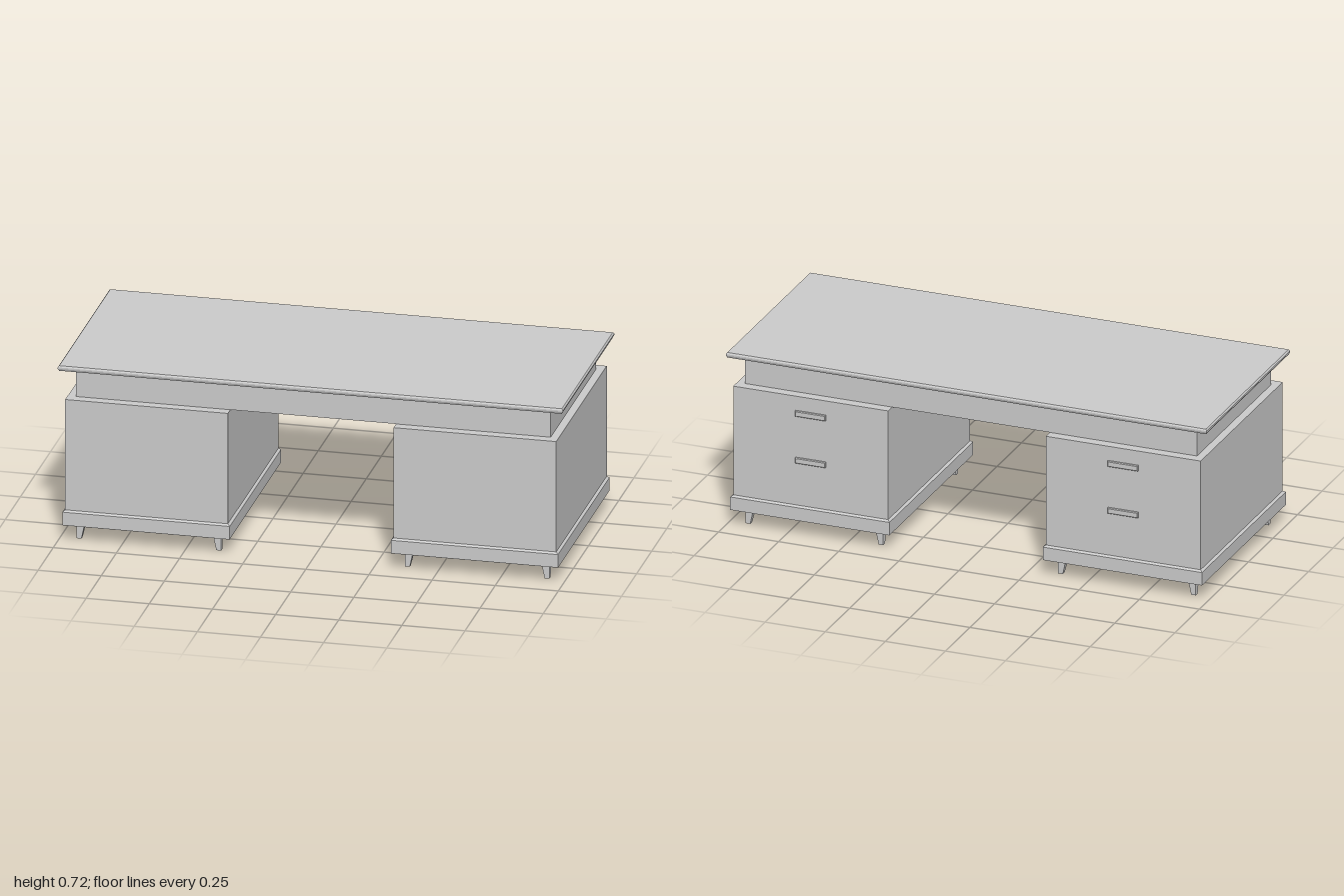
import * as THREE from 'three';

const material = new THREE.MeshStandardMaterial({ color: 0xcccccc, flatShading: true, side: THREE.DoubleSide });

// Stacks rectangular sections [x0, x1, y, z0, z1] from bottom to top into a faceted shell
function stack(name, sections, closedBottom = true) {
  const rings = sections.map(([x0, x1, y, z0, z1]) => [
    [x0, y, z1], [x1, y, z1], [x1, y, z0], [x0, y, z0],
  ]);
  const points = [];
  const quad = (a, b, c, d) => points.push(...a, ...b, ...c, ...a, ...c, ...d);
  for (let i = 0; i < rings.length - 1; i++) {
    for (let k = 0; k < 4; k++) {
      const n = (k + 1) % 4;
      quad(rings[i][k], rings[i][n], rings[i + 1][n], rings[i + 1][k]);
    }
  }
  quad(...rings[rings.length - 1]);
  if (closedBottom) quad(...[...rings[0]].reverse());
  const geometry = new THREE.BufferGeometry();
  geometry.setAttribute('position', new THREE.Float32BufferAttribute(points, 3));
  geometry.computeVertexNormals();
  const mesh = new THREE.Mesh(geometry, material);
  mesh.name = name;
  return mesh;
}

// Section centred on the origin
const centred = (hx, y, hz) => [-hx, hx, y, -hz, hz];

// Leg with straight outer faces and tapering inner faces, at corner (sx, sz)
function makeLeg(sx, sz) {
  const span = (outer, width, s) => (s > 0 ? [outer - width, outer] : [-outer, -outer + width]);
  const section = (y, width) => [...span(0.286, width, sx), y, ...span(0.38, width, sz)];
  return stack('leg', [section(0, 0.019), section(0.067, 0.033)]);
}

// Drawer pull with a chamfered outer face, on the back of the cabinet
function makeHandle(y) {
  const handle = stack('drawerHandle', [
    centred(0.063, 0, 0.012), centred(0.063, 0.006, 0.012), centred(0.06, 0.0095, 0.009),
  ]);
  handle.rotation.x = -Math.PI / 2;
  handle.position.set(0, y, -0.417);
  return handle;
}

function makePedestal(side) {
  const pedestal = new THREE.Group();
  pedestal.name = side > 0 ? 'leftPedestal' : 'rightPedestal';
  // Hollow cabinet and plinth, open underneath
  pedestal.add(stack('cabinet', [
    centred(0.331, 0.067, 0.427), centred(0.331, 0.121, 0.427),
    centred(0.322, 0.128, 0.418), centred(0.322, 0.583, 0.418),
  ], false));
  for (const sx of [-1, 1]) for (const sz of [-1, 1]) pedestal.add(makeLeg(sx, sz));
  for (const y of [0.512, 0.316]) pedestal.add(makeHandle(y));
  pedestal.position.x = side * 0.65;
  return pedestal;
}

export function createModel() {
  const desk = new THREE.Group();
  desk.name = 'desk';

  // Table top with a wide undercut and a small edge bevel
  desk.add(stack('tableTop', [
    centred(0.94, 0.689, 0.377), centred(0.995, 0.701, 0.422),
    centred(1, 0.71, 0.426), centred(1, 0.716, 0.426), centred(0.995, 0.722, 0.422),
  ]));

  // Recessed frame below the top
  desk.add(stack('apron', [centred(0.94, 0.583, 0.377), centred(0.94, 0.689, 0.377)]));

  for (const side of [-1, 1]) desk.add(makePedestal(side));
  return desk;
}
